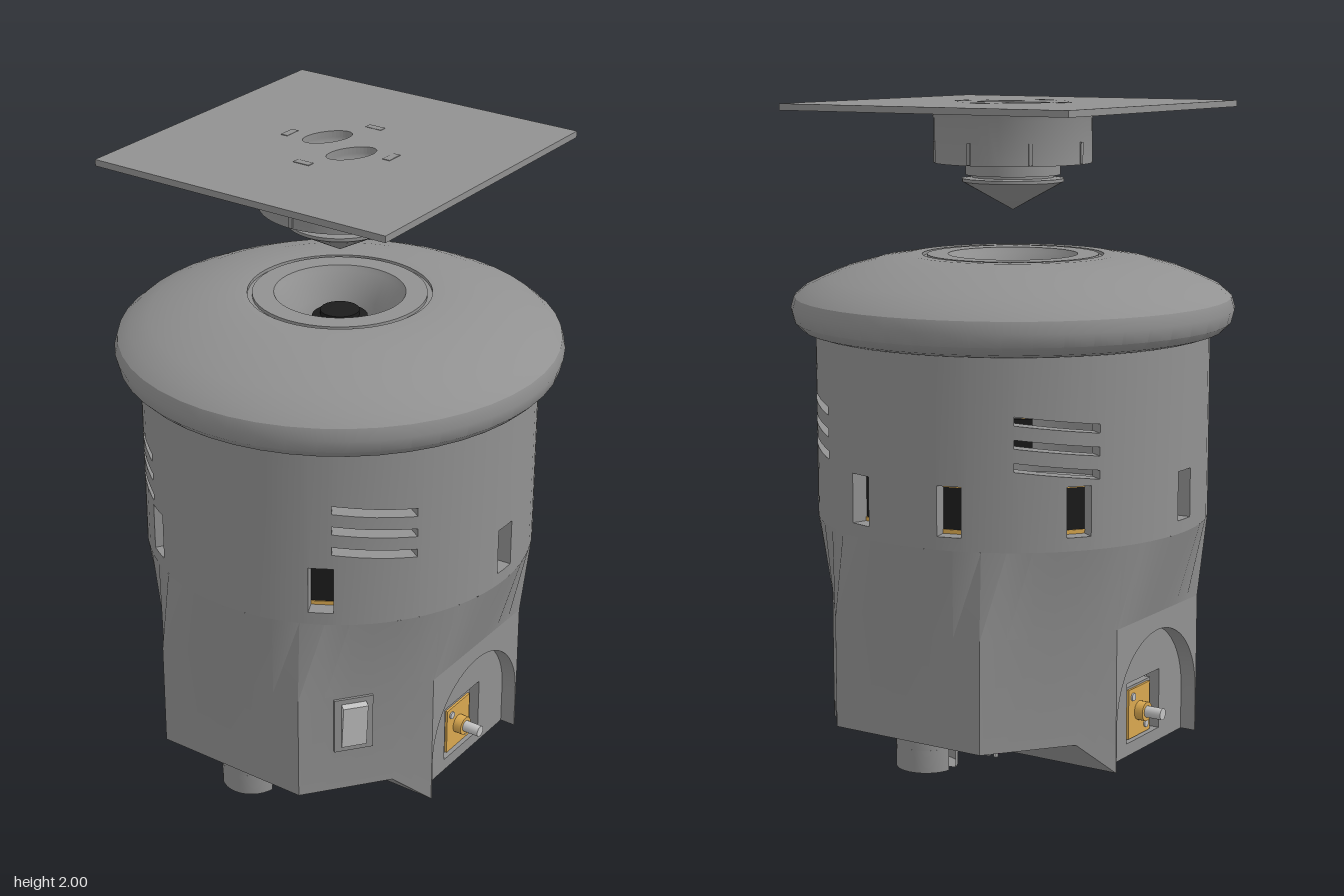
import * as THREE from 'three';
import { toCreasedNormals } from 'three/addons/utils/BufferGeometryUtils.js';

const material = (name, color) => Object.assign(
  new THREE.MeshStandardMaterial({ color, side: THREE.DoubleSide }), { name });

const RAD = Math.PI / 180;
const polar = (deg, r, y) => [r * Math.sin(deg * RAD), y, r * Math.cos(deg * RAD)];

// Collects quads and turns them into one creased geometry
function quadBuilder() {
  const pos = [];
  return {
    quad(a, b, c, d) { pos.push(...a, ...b, ...c, ...a, ...c, ...d); },
    build(crease) {
      const g = new THREE.BufferGeometry();
      g.setAttribute('position', new THREE.Float32BufferAttribute(pos, 3));
      return toCreasedNormals(g, crease);
    },
  };
}

function lathe(points, segments = 48, start = 0, length = Math.PI * 2) {
  const pts = points.map(([x, y]) => new THREE.Vector2(x, y));
  return toCreasedNormals(new THREE.LatheGeometry(pts, segments, start, length), 0.55);
}

const WINDOWS = [0, 39, 75, 105, 141, 180, 240, 300];
const VENTS = [45, 135, 225, 315];
const offset = (a, c) => ((a - c + 540) % 360) - 180;

// Round upper wall with real window and slanted vent openings
function upperWall() {
  const R = 0.61, r = 0.56, b = quadBuilder();
  const openings = [];
  for (const c of WINDOWS) openings.push({ c, half: 3.5, lo: () => 0.77, hi: () => 0.92 });
  for (const c of VENTS) for (const y of [0.965, 1.033, 1.1]) {
    const mid = a => y - offset(a, c) / 24 * 0.03;
    openings.push({ c, half: 12, lo: a => mid(a) - 0.013, hi: a => mid(a) + 0.013 });
  }
  const edges = new Set();
  for (let a = 0; a <= 360; a += 5) edges.add(a);
  for (const o of openings) for (const s of [-1, 1]) edges.add((o.c + s * o.half + 360) % 360);
  const list = [...edges].sort((p, q) => p - q);
  for (let i = 0; i + 1 < list.length; i++) {
    const a0 = list[i], a1 = list[i + 1], m = (a0 + a1) / 2;
    const here = openings.filter(o => Math.abs(offset(m, o.c)) < o.half).sort((p, q) => p.lo(m) - q.lo(m));
    const cuts = [() => 0.73, ...here.flatMap(o => [o.lo, o.hi]), () => 1.31];
    for (let k = 0; k < cuts.length; k += 2) {
      const [lo, hi] = [cuts[k], cuts[k + 1]];
      b.quad(polar(a0, R, lo(a0)), polar(a1, R, lo(a1)), polar(a1, R, hi(a1)), polar(a0, R, hi(a0)));
      b.quad(polar(a1, r, lo(a1)), polar(a0, r, lo(a0)), polar(a0, r, hi(a0)), polar(a1, r, hi(a1)));
      b.quad(polar(a0, R, hi(a0)), polar(a1, R, hi(a1)), polar(a1, r, hi(a1)), polar(a0, r, hi(a0)));
      b.quad(polar(a0, r, lo(a0)), polar(a1, r, lo(a1)), polar(a1, R, lo(a1)), polar(a0, R, lo(a0)));
    }
    // Side walls of each opening
    for (const o of here) for (const a of [a0, a1]) {
      if (Math.abs(Math.abs(offset(a, o.c)) - o.half) > 0.01) continue;
      b.quad(polar(a, R, o.lo(a)), polar(a, r, o.lo(a)), polar(a, r, o.hi(a)), polar(a, R, o.hi(a)));
    }
  }
  return b.build(0.4);
}

// Octagonal base outline and its stepped underside
const K = 0.265 / 0.335;
function octagon(deg) {
  const s = Math.abs(Math.sin(deg * RAD)) + 1e-9, c = Math.abs(Math.cos(deg * RAD)) + 1e-9;
  return Math.min(0.525 / c, 0.585 / s, (0.525 + 0.25 * K) / (c + K * s));
}
const underY = x => Math.min(0.13, 0.03 + Math.max(0, Math.abs(x) - 0.25));

function lowerShell() {
  const b = quadBuilder();
  const quarter = [0, 6, 12, 19, Math.atan2(0.25, 0.525) / RAD, 32, Math.atan2(0.35, 0.525 - 0.1 * K) / RAD,
    45, 52, 59, Math.atan2(0.585, 0.26) / RAD, 74, 82];
  const half = [...quarter, 90, ...quarter.slice(1).reverse().map(a => 180 - a)];
  const all = [...half, ...half.map(a => a + 180), 360];
  for (let i = 0; i + 1 < all.length; i++) {
    const a0 = all[i], a1 = all[i + 1], m = (a0 + a1) / 2;
    const r0 = octagon(a0), r1 = octagon(a1);
    b.quad(polar(a0, r0, 0.47), polar(a1, r1, 0.47), polar(a1, 0.61, 0.73), polar(a0, 0.61, 0.73));
    if (Math.abs(octagon(m) * Math.sin(m * RAD)) < 0.25) continue;
    const y0 = underY(polar(a0, r0, 0)[0]), y1 = underY(polar(a1, r1, 0)[0]);
    b.quad(polar(a0, r0, y0), polar(a1, r1, y1), polar(a1, r1, 0.47), polar(a0, r0, 0.47));
  }
  // Underside strips
  const xs = [-0.585, -0.35, -0.25, 0.25, 0.35, 0.585];
  for (let i = 0; i < 5; i++) {
    const [x0, x1] = [xs[i], xs[i + 1]];
    const zh = x => (i === 2 ? 0.475 : 0.525 - (Math.abs(x) - 0.25) * K);
    b.quad([x0, underY(x0), -zh(x0)], [x1, underY(x1), -zh(x1)], [x1, underY(x1), zh(x1)], [x0, underY(x0), zh(x0)]);
  }
  return b.build(0.3);
}

export function createModel() {
  const gray = material('bodyGray', 0x919191), light = material('lightGray', 0xc4c4c4);
  const black = material('black', 0x1c1c1c), gold = material('gold', 0xd9a850), purple = material('purple', 0x74107c);
  const model = new THREE.Group();
  const add = (parent, name, geo, mat, x = 0, y = 0, z = 0) => {
    const mesh = new THREE.Mesh(geo, mat);
    mesh.name = name;
    mesh.position.set(x, y, z);
    parent.add(mesh);
    return mesh;
  };
  const group = (name, turn = 0) => {
    const g = new THREE.Group();
    g.name = name;
    g.rotation.y = turn;
    model.add(g);
    return g;
  };
  const box = (w, h, d) => new THREE.BoxGeometry(w, h, d);
  const cyl = (r, h, n = 20) => new THREE.CylinderGeometry(r, r, h, n);

  add(model, 'upperWall', upperWall(), gray);
  add(model, 'lowerShell', lowerShell(), gray);
  add(model, 'innerFloor', cyl(0.56, 0.01, 48), gray, 0, 0.735);

  // Sensors sunk in the windows
  for (const a of WINDOWS) {
    const g = group('sensor', a * RAD);
    add(g, 'sensorFace', box(0.08, 0.15, 0.01), black, 0, 0.845, 0.554);
    for (const y of [0.776, 0.914]) add(g, 'sensorContact', box(0.07, 0.012, 0.006), gold, 0, y, 0.559);
  }

  // Domed lid with funnel opening
  add(model, 'lid', lathe([[0.56, 1.3], [0.62, 1.3], [0.65, 1.31], [0.675, 1.335], [0.685, 1.375], [0.675, 1.41],
    [0.64, 1.44], [0.58, 1.468], [0.52, 1.492], [0.42, 1.52], [0.32, 1.535], [0.28, 1.535], [0.28, 1.525],
    [0.265, 1.525], [0.265, 1.535], [0.2, 1.535], [0.19, 1.52], [0.14, 1.45], [0.13, 1.38], [0, 1.38]]), gray);
  add(model, 'funnelCore', lathe([[0.1, 1.38], [0.1, 1.43], [0.085, 1.435], [0.085, 1.455], [0.06, 1.46],
    [0.06, 1.475], [0, 1.48]], 24), black);

  // Raised square tray with two finger pockets
  const square = new THREE.Shape([[-1, -1], [1, -1], [1, 1], [-1, 1]].map(([x, y]) => new THREE.Vector2(x * 0.505, y * 0.505)));
  const tilt = -27 * RAD;
  const pockets = [[0.036, 0.07], [-0.038, -0.068]];
  for (const [x, y] of pockets) square.holes.push(new THREE.Path().absellipse(x, y, 0.08, 0.045, 0, Math.PI * 2, true, tilt));
  const tray = new THREE.ExtrudeGeometry(square, { depth: 0.02, bevelEnabled: false, curveSegments: 20 });
  add(model, 'trayPlate', tray.rotateX(-Math.PI / 2), gray, 0, 1.978);
  for (const [x, y] of pockets) {
    const bowl = new THREE.SphereGeometry(1, 24, 8, 0, Math.PI * 2, Math.PI / 2, Math.PI / 2);
    add(model, 'fingerPocket', bowl.scale(0.08, 0.045, 0.045).rotateY(tilt), gray, x, 1.979, -y);
  }
  const rim = new THREE.RingGeometry(0.168, 0.172, 48).rotateX(-Math.PI / 2);
  add(model, 'trayRing', rim, gray, 0, 1.999);
  for (let i = 0; i < 4; i++) {
    add(group('trayTab', i * Math.PI / 2), 'tab', box(0.055, 0.004, 0.024), gray, 0, 1.998, 0.182);
  }

  // Neck and cone under the tray
  add(model, 'trayNeck', lathe([[0, 1.67], [0.157, 1.757], [0.157, 1.767], [0.125, 1.77], [0.125, 1.778], [0.145, 1.778],
    [0.145, 1.9], [0.205, 1.9], [0.205, 1.815], [0.243, 1.815], [0.243, 1.95], [0.255, 1.98]]), gray);
  for (let i = 0; i < 8; i++) {
    add(group('neckRib', i * Math.PI / 4), 'rib', box(0.012, 0.065, 0.008), gray, 0, 1.85, 0.243);
  }

  // Arched recess and connector on the front and the back
  const surround = new THREE.Shape();
  surround.moveTo(-0.25, 0.03).lineTo(-0.25, 0.47).lineTo(0.25, 0.47).lineTo(0.25, 0.03).lineTo(0.245, 0.03).lineTo(0.245, 0.17);
  surround.absarc(0, 0.17, 0.245, 0, Math.PI, false).lineTo(-0.245, 0.03);
  const panel = new THREE.Shape();
  panel.moveTo(-0.248, 0.03).lineTo(0.248, 0.03).lineTo(0.248, 0.17);
  panel.absarc(0, 0.17, 0.248, 0, Math.PI, false);
  panel.holes.push(new THREE.Path([[-0.1, 0.07], [-0.1, 0.26], [0.1, 0.26], [0.1, 0.07]].map(p => new THREE.Vector2(...p))));
  const extrude = (shape, depth) => toCreasedNormals(
    new THREE.ExtrudeGeometry(shape, { depth, bevelEnabled: false, curveSegments: 24 }), 0.5);
  for (const turn of [0, Math.PI]) {
    const g = group('connectorBay', turn);
    add(g, 'archSurround', extrude(surround, 0.05), gray, 0, 0, 0.475);
    add(g, 'archPanel', extrude(panel, 0.05), gray, 0, 0, 0.425);
    add(g, 'pocketBack', box(0.21, 0.2, 0.01), gray, 0, 0.165, 0.425);
    add(g, 'connectorBody', box(0.16, 0.17, 0.025), gray, 0, 0.15, 0.442);
    add(g, 'connectorPlate', box(0.13, 0.155, 0.008), gold, 0, 0.15, 0.458);
    add(g, 'connectorCollar', cyl(0.03, 0.03).rotateX(Math.PI / 2), gold, 0, 0.15, 0.475);
    add(g, 'connectorPin', cyl(0.018, 0.09).rotateX(Math.PI / 2), light, 0, 0.15, 0.5);
    for (const s of [-1, 1]) add(g, 'plateScrew', cyl(0.012, 0.01).rotateX(Math.PI / 2), light, s * 0.04, 0.15 - s * 0.052, 0.462);
  }

  // Rocker switch on the front right facet
  const sw = group('powerSwitch', -38.4 * RAD);
  sw.position.set(-0.45, 0.365, 0.367);
  add(sw, 'switchFrame', box(0.122, 0.185, 0.016), gray);
  add(sw, 'switchRocker', box(0.078, 0.15, 0.024), light, 0, 0, 0.01).rotation.x = 0.12;

  // Split ring feet
  for (const s of [-1, 1]) {
    const foot = group('foot');
    foot.position.x = s * 0.48;
    const ring = (y0, y1) => [[0.065, y0], [0.093, y0], [0.093, y1], [0.065, y1], [0.065, y0]];
    add(foot, 'footCollar', lathe(ring(0.1, 0.13), 32), gray);
    for (const start of [0.18, Math.PI + 0.18]) {
      add(foot, 'footClaw', lathe(ring(0.03, 0.1), 16, start, Math.PI - 0.36), gray);
    }
  }

  // Circuit board and screws under the base
  const board = group('circuitBoard');
  add(board, 'boardPlate', box(0.17, 0.014, 0.22), purple, 0.165, 0.022, 0);
  add(board, 'mainChip', box(0.05, 0.012, 0.05), black, 0.165, 0.011, 0);
  for (let i = 0; i < 4; i++) {
    add(board, 'smallChip', box(0.022, 0.008, 0.03), black, 0.115 + 0.1 * (i % 2), 0.012, i < 2 ? -0.06 : 0.06);
    add(board, 'contact', box(0.012, 0.006, 0.014), gold, 0.165, 0.013, -0.075 + 0.05 * i);
  }
  for (let i = 0; i < 8; i++) add(board, 'headerPin', box(0.01, 0.02, 0.01), light, 0.24, 0.01, -0.09 + i * 0.0257);
  for (const x of [-0.17, 0.17]) for (const z of [-0.3, 0.3]) add(model, 'baseScrew', cyl(0.018, 0.008), light, x, 0.028, z);
  for (const z of [-0.15, 0.15]) add(model, 'baseScrew', cyl(0.018, 0.008), light, -0.1, 0.028, z);
  return model;
}
